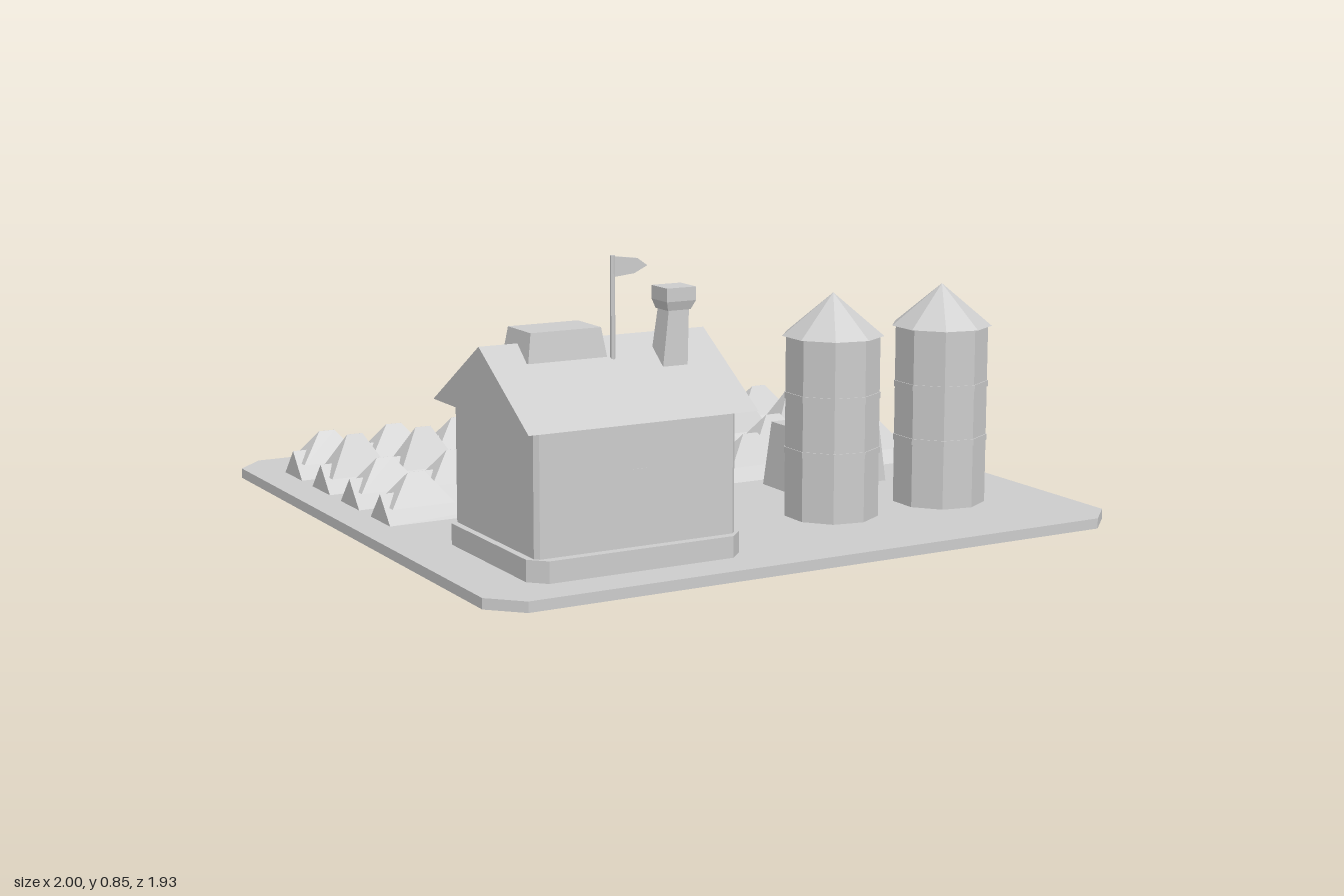
import * as THREE from 'three';

const grey = new THREE.MeshStandardMaterial({ color: 0xcccccc, flatShading: true, side: THREE.DoubleSide });
grey.name = 'light grey';

function add(parent, name, geometry, x = 0, y = 0, z = 0) {
  const mesh = new THREE.Mesh(geometry, grey);
  mesh.name = name;
  mesh.position.set(x, y, z);
  parent.add(mesh);
  return mesh;
}

function group(parent, name, x = 0, y = 0, z = 0) {
  const g = new THREE.Group();
  g.name = name;
  g.position.set(x, y, z);
  parent.add(g);
  return g;
}

// Box standing on y = 0 whose top may be narrower or shifted in x
function taperBox(w, d, h, topW = w, topD = d, shift = 0) {
  const geo = new THREE.BoxGeometry(w, h, d).translate(0, h / 2, 0);
  const p = geo.attributes.position;
  for (let i = 0; i < p.count; i++) {
    if (p.getY(i) > h / 2) p.setXYZ(i, p.getX(i) * topW / w + shift, h, p.getZ(i) * topD / d);
  }
  geo.computeVertexNormals();
  return geo;
}

// Upright slab with cut corners
function slab(w, d, h, cut) {
  const a = w / 2, b = d / 2;
  const shape = new THREE.Shape([
    [-a + cut, -b], [a - cut, -b], [a, -b + cut], [a, b - cut],
    [a - cut, b], [-a + cut, b], [-a, b - cut], [-a, -b + cut],
  ].map(([x, y]) => new THREE.Vector2(x, y)));
  return new THREE.ExtrudeGeometry(shape, { depth: h, bevelEnabled: false }).rotateX(-Math.PI / 2);
}

// Triangular prism lying along x
function prism(length, width, height) {
  const shape = new THREE.Shape([
    new THREE.Vector2(-width / 2, 0), new THREE.Vector2(width / 2, 0), new THREE.Vector2(0, height),
  ]);
  return new THREE.ExtrudeGeometry(shape, { depth: length, bevelEnabled: false })
    .translate(0, 0, -length / 2).rotateY(Math.PI / 2);
}

function buildField(root) {
  const field = group(root, 'field');
  [-0.69, -0.463, -0.237, -0.01].forEach((z, row) => {
    add(field, 'furrow', prism(1.8, 0.14, 0.08), 0, 0.03, z);
    const height = row === 1 ? 0.12 : 0.09;
    for (let i = 0; i < 8; i++) {
      add(field, 'crop', taperBox(0.195, 0.112, height, 0.05, 0.001), (i - 3.5) * 0.225, 0.074, z);
    }
  });
}

function buildHouse(root) {
  const house = group(root, 'house', -0.512, 0, 0.565);
  add(house, 'plinth', slab(0.645, 0.55, 0.06, 0.045), 0, 0.03, 0);
  add(house, 'walls', slab(0.605, 0.495, 0.36, 0.012), 0, 0.08, 0);
  add(house, 'roof', prism(0.685, 0.585, 0.187), 0, 0.43, 0);
  add(house, 'roofBox', taperBox(0.235, 0.155, 0.08, 0.21, 0.135), -0.118, 0.573, 0);

  // Chimney with a flared cap
  const chimney = group(house, 'chimney', 0.185, 0.54, 0.085);
  add(chimney, 'chimneyShaft', taperBox(0.076, 0.072, 0.155, 0.062, 0.06, 0.014));
  add(chimney, 'chimneyCap', taperBox(0.07, 0.068, 0.025, 0.09, 0.085, 0.002), 0.013, 0.15, 0);
  add(chimney, 'chimneyRim', taperBox(0.09, 0.085, 0.037), 0.015, 0.175, 0);

  // Flag
  add(house, 'flagPole', new THREE.CylinderGeometry(0.007, 0.007, 0.28, 6), 0.018, 0.705, 0.075);
  const flag = new THREE.Shape([
    [0, 0], [0.06, 0.006], [0.1, 0.025], [0.07, 0.046], [0, 0.055],
  ].map(([x, y]) => new THREE.Vector2(x, y)));
  add(house, 'flag', new THREE.ExtrudeGeometry(flag, { depth: 0.008, bevelEnabled: false }), 0.022, 0.787, 0.071);

  // Doorway at the back
  const door = group(house, 'doorway', -0.075, 0, -0.25);
  add(door, 'doorStep', taperBox(0.215, 0.08, 0.055, 0.2, 0.07), 0, 0.03, -0.025);
  add(door, 'doorPanel', taperBox(0.13, 0.02, 0.25), 0, 0.07, 0);
  for (const s of [-1, 1]) add(door, 'doorPost', taperBox(0.024, 0.04, 0.26), s * 0.072, 0.06, 0);
  add(door, 'doorLintel', taperBox(0.19, 0.05, 0.028), 0, 0.315, 0);
  add(door, 'doorKnob', new THREE.BoxGeometry(0.014, 0.022, 0.015), 0.04, 0.19, -0.014);

  // Narrow windows
  add(house, 'backWindow', new THREE.BoxGeometry(0.025, 0.09, 0.009), 0.17, 0.26, -0.248);
  add(house, 'frontWindow', new THREE.BoxGeometry(0.05, 0.08, 0.004), 0, 0.26, 0.2465);
}

function buildSilo(root, x) {
  const silo = group(root, 'silo', x, 0, 0.54);
  silo.rotation.y = Math.PI / 2;
  add(silo, 'siloBody', new THREE.CylinderGeometry(0.137, 0.137, 0.53, 9), 0, 0.295, 0);
  for (const y of [0.225, 0.385]) {
    add(silo, 'siloBand', new THREE.CylinderGeometry(0.14, 0.14, 0.018, 9), 0, y, 0);
  }
  add(silo, 'siloRoof', new THREE.ConeGeometry(0.148, 0.122, 9), 0, 0.617, 0);
}

function buildTank(root) {
  const tank = group(root, 'tank', 0.488, 0, 0.182);
  add(tank, 'tankBody', taperBox(0.355, 0.14, 0.195, 0.315, 0.112), 0, 0.03, 0);
  for (const s of [-1, 1]) {
    add(tank, 'tankLid', new THREE.CylinderGeometry(0.033, 0.033, 0.035, 10), s * 0.103, 0.234, 0);
  }
}

export function createModel() {
  const root = new THREE.Group();
  root.name = 'farm';
  add(root, 'ground', slab(2, 1.93, 0.03, 0.087));
  buildField(root);
  buildHouse(root);
  for (const x of [0.275, 0.655]) buildSilo(root, x);
  buildTank(root);
  return root;
}
